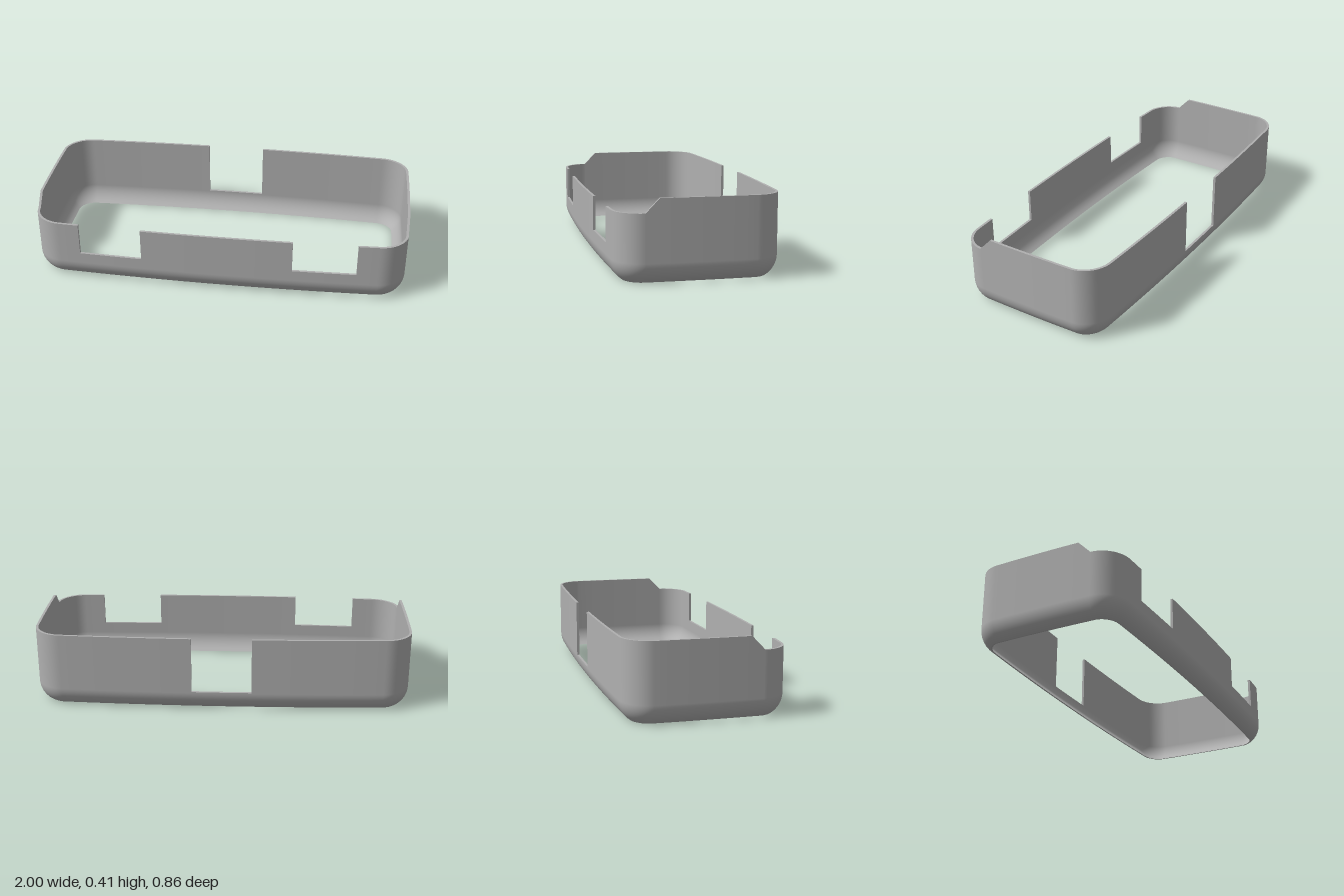
import * as THREE from 'three';

const HX = 1, HZ = 0.43, R = 0.14, WALL = 0.013;
const LOW = 0.337, HIGH = 0.407, FRONT_CUT = 0.16, BACK_CUT = 0.105;
const ARC_Y = 0.1, ARC_R = 0.121, ARC_ANGLE = 0.975;

// Walk once around the outline, recording rim height; repeated points make vertical cuts.
function outline() {
  const pts = [];
  const add = (x, z, h) => pts.push({
    x: x * (1 - 0.008 * (z / HZ) ** 2), // gently bowed ends
    z: z * (1 - 0.065 * x * x),         // gently bowed front and back
    h,
  });
  const run = (a, b, ha, hb, place) => {
    const n = Math.max(1, Math.ceil(Math.abs(b - a) / 0.08));
    for (let i = 0; i <= n; i++) place(a + (b - a) * i / n, ha + (hb - ha) * i / n);
  };
  const corner = (sx, sz, start, h) => {
    for (let i = 1; i < 14; i++) {
      const a = start - i / 14 * Math.PI / 2;
      add(sx * (HX - R) + R * Math.cos(a), sz * (HZ - R) + R * Math.sin(a), h);
    }
  };
  const ex = HX - R, ez = HZ - R, k = 0.992, q = 0.935;
  // front wall with two openings
  const f = [-ex, -0.74 / k, -0.403 / k, 0.403 / k, 0.74 / k, ex];
  for (let i = 0; i < 5; i++) {
    const h = i % 2 ? FRONT_CUT : LOW;
    run(f[i], f[i + 1], h, h, (x, y) => add(x, HZ, y));
  }
  corner(1, 1, Math.PI / 2, LOW);
  // left end, stepping up towards the back
  const s = [ez, 0.27 / q, 0.203 / q, -ez], sh = [LOW, LOW, HIGH, HIGH];
  for (let i = 0; i < 3; i++) run(s[i], s[i + 1], sh[i], sh[i + 1], (z, y) => add(HX, z, y));
  corner(1, -1, 0, HIGH);
  // back wall with one deep opening
  const b = [ex, 0.158 / k, -0.158 / k, -ex];
  for (let i = 0; i < 3; i++) {
    const h = i === 1 ? BACK_CUT : HIGH;
    run(b[i], b[i + 1], h, h, (x, y) => add(x, -HZ, y));
  }
  corner(-1, -1, -Math.PI / 2, HIGH);
  // right end
  for (let i = 3; i > 0; i--) run(s[i], s[i - 1], sh[i], sh[i - 1], (z, y) => add(-HX, z, y));
  corner(-1, 1, Math.PI, LOW);

  // outward normals from the neighbouring distinct points
  const n = pts.length;
  const distinct = (i, step) => {
    let j = i;
    do j = (j + step + n) % n;
    while (Math.hypot(pts[j].x - pts[i].x, pts[j].z - pts[i].z) < 1e-5);
    return pts[j];
  };
  pts.forEach((p, i) => {
    const a = distinct(i, -1), c = distinct(i, 1);
    const unit = (u, v) => {
      const l = Math.hypot(v.x - u.x, v.z - u.z);
      return [(v.x - u.x) / l, (v.z - u.z) / l];
    };
    const t0 = unit(a, p), t1 = unit(p, c);
    const tx = t0[0] + t1[0], tz = t0[1] + t1[1], l = Math.hypot(tx, tz);
    p.nx = -tz / l;
    p.nz = tx / l;
  });
  return pts;
}

// Cross-section of one face of the wall: inset, height (null = rim) and tilt.
function section(depth) {
  const out = [];
  for (let i = 0; i <= 10; i++) {
    const a = ARC_ANGLE * (1 - i / 10);
    const r = ARC_R - depth;
    // the inner face reaches the same floor level as the outer one
    const y = i === 0 ? 0 : Math.max(0, ARC_Y - r * Math.sin(a));
    out.push({ inset: depth + r * (1 - Math.cos(a)), y, tilt: a });
  }
  out.push({ inset: depth, y: null, tilt: 0 });
  return out;
}

// Sweep a cross-section around the outline; side is +1 outward, -1 inward, 0 flat.
function sweep(pts, prof, side) {
  const pos = [], nor = [], idx = [], m = prof.length, n = pts.length;
  for (const p of pts) {
    for (const s of prof) {
      pos.push(p.x - p.nx * s.inset, s.y === null ? p.h : s.y, p.z - p.nz * s.inset);
      const c = Math.cos(s.tilt) * side;
      nor.push(p.nx * c, -Math.sin(s.tilt) * side, p.nz * c);
    }
  }
  for (let i = 0; i < n; i++) {
    for (let j = 0; j < m - 1; j++) {
      const a = i * m + j, b = ((i + 1) % n) * m + j;
      idx.push(a, b, b + 1, a, b + 1, a + 1);
    }
  }
  let g = new THREE.BufferGeometry();
  g.setAttribute('position', new THREE.Float32BufferAttribute(pos, 3));
  g.setIndex(idx);
  if (side) {
    g.setAttribute('normal', new THREE.Float32BufferAttribute(nor, 3));
  } else {
    g = g.toNonIndexed();
    g.computeVertexNormals();
  }
  return g;
}

export function createModel() {
  const group = new THREE.Group();
  group.name = 'bumperFrame';
  const grey = new THREE.MeshStandardMaterial({ color: 0xb0b0b0 });
  grey.name = 'grey';
  const pts = outline();
  const outer = section(0), inner = section(WALL);
  const part = (name, prof, side) => {
    const mesh = new THREE.Mesh(sweep(pts, prof, side), grey);
    mesh.name = name;
    group.add(mesh);
  };
  part('outerWall', outer, 1);
  part('topRim', [outer[11], inner[11]], 0);
  part('innerWall', inner.slice().reverse(), -1);
  part('bottomRim', [inner[0], outer[0]], 0);
  return group;
}
